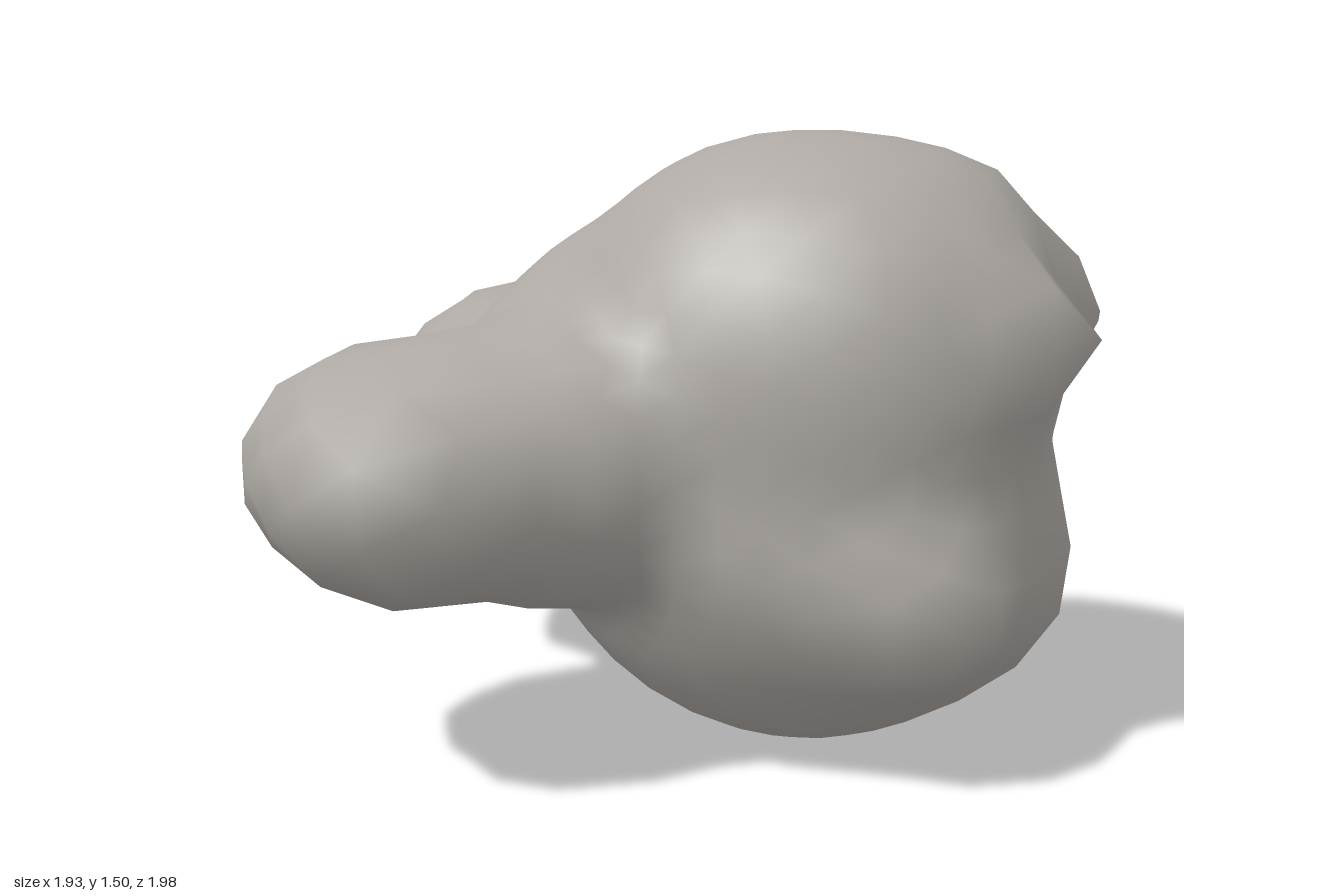
import * as THREE from 'three';
import { mergeVertices } from 'three/addons/utils/BufferGeometryUtils.js';

// Lumps blended into one boulder: centre, radii, roundness exponent
const lumps = [
  { c: [0.27, 0.95, -0.01], r: [0.59, 0.55, 0.6], n: 2.2 },    // upper body
  { c: [0.25, 0.5, -0.05], r: [0.63, 0.5, 0.56], n: 1.9 },     // lower body
  { c: [0.22, 0.58, -0.04], r: [0.52, 0.32, 0.59], n: 2 },     // belly
  { c: [-0.15, 0.81, -0.06], r: [0.42, 0.47, 0.48], n: 2 },    // shoulder behind the lobes
  { c: [0.57, 1.18, -0.07], r: [0.24, 0.25, 0.32], n: 2 },     // top corner
  { c: [0.53, 0.46, 0.31], r: [0.27, 0.24, 0.26], n: 2 },      // low front corner
  { c: [0.58, 0.42, -0.12], r: [0.3, 0.28, 0.3], n: 2 },       // low side
  { c: [0.56, 0.44, -0.35], r: [0.28, 0.26, 0.24], n: 2 },     // low back corner
  { c: [0.6, 0.88, -0.36], r: [0.26, 0.2, 0.25], n: 2.3 },     // mid back corner
  { c: [0.82, 1.06, -0.27], r: [0.16, 0.14, 0.16], n: 1.8 },   // side knob, back
  { c: [0.8, 1.04, 0.2], r: [0.16, 0.15, 0.15], n: 1.8 },      // side knob, front
  { c: [-0.35, 0.76, 0.0], r: [0.33, 0.33, 0.38], n: 2 },      // saddle between lobes
  { c: [-0.6, 0.75, 0.47], r: [0.38, 0.29, 0.37], n: 2 },      // front lobe
  { c: [-0.53, 0.76, 0.7], r: [0.3, 0.28, 0.3], n: 1.9 },      // front lobe tip
  { c: [-0.28, 0.76, 0.4], r: [0.35, 0.34, 0.37], n: 2 },      // front lobe root
  { c: [-0.58, 0.72, -0.67], r: [0.39, 0.34, 0.33], n: 2.1 },  // back lobe
  { c: [-0.58, 0.74, -0.38], r: [0.36, 0.31, 0.32], n: 2 },    // back lobe flank
  { c: [-0.25, 0.79, -0.42], r: [0.4, 0.36, 0.36], n: 2 },     // back lobe root
];
const K = 0.035;

// Smooth union of the lumps, negative inside
function field(p) {
  let sum = 0;
  for (const { c, r, n } of lumps) {
    const q = Math.abs((p.x - c[0]) / r[0]) ** n + Math.abs((p.y - c[1]) / r[1]) ** n
      + Math.abs((p.z - c[2]) / r[2]) ** n;
    sum += Math.exp(-(q ** (1 / n) - 1) * Math.min(...r) / K);
  }
  return -K * Math.log(sum);
}

// Walk inwards along a direction to the outermost surface, then refine
function surfacePoint(origin, dir) {
  const at = (t) => origin.clone().addScaledVector(dir, t);
  let hi = 1.8;
  while (hi > 0.1 && field(at(hi)) > 0) hi -= 0.02;
  let lo = hi;
  hi += 0.02;
  for (let i = 0; i < 12; i++) {
    const mid = (lo + hi) / 2;
    if (field(at(mid)) > 0) hi = mid; else lo = mid;
  }
  return at(lo);
}

function boulderGeometry() {
  let geo = new THREE.IcosahedronGeometry(1, 7);
  geo.deleteAttribute('normal');
  geo.deleteAttribute('uv');
  geo = mergeVertices(geo, 1e-4);
  const pos = geo.attributes.position;
  const origin = new THREE.Vector3(-0.1, 0.75, 0);
  const dir = new THREE.Vector3();
  for (let i = 0; i < pos.count; i++) {
    dir.fromBufferAttribute(pos, i).normalize();
    const p = surfacePoint(origin, dir);
    pos.setXYZ(i, p.x, p.y, p.z);
  }
  geo.computeVertexNormals();
  return geo;
}

export function createModel() {
  const group = new THREE.Group();
  group.name = 'boulder';
  const stone = new THREE.MeshStandardMaterial({ color: 0xaea9a4 });
  stone.name = 'warm grey stone';
  const rock = new THREE.Mesh(boulderGeometry(), stone);
  rock.name = 'rock';
  group.add(rock);
  return group;
}
